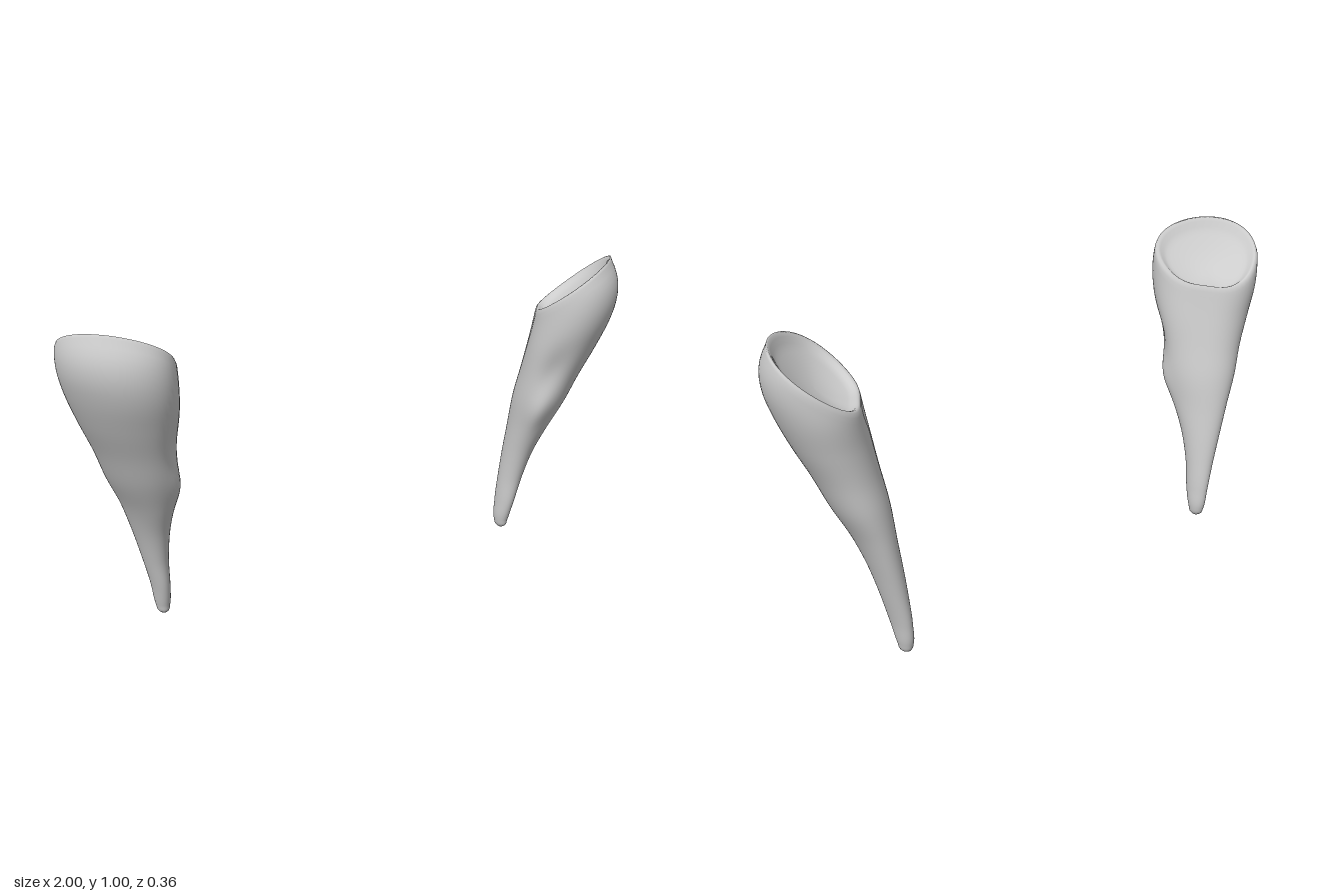
import * as THREE from 'three';

const AROUND = 56, UP = 64, DISH = 14;

// Body stations: height, then inner x, outer x, back z, front z
const stations = [
  [0, 0.664, 0.668, -0.142, -0.138],
  [0.008, 0.653, 0.680, -0.158, -0.121],
  [0.03, 0.646, 0.688, -0.169, -0.112],
  [0.1, 0.647, 0.702, -0.176, -0.092],
  [0.2, 0.654, 0.729, -0.178, -0.073],
  [0.3, 0.659, 0.759, -0.180, -0.040],
  [0.4, 0.661, 0.796, -0.180, 0.010],
  [0.5, 0.660, 0.846, -0.177, 0.058],
  [0.6, 0.666, 0.888, -0.167, 0.095],
  [0.7, 0.670, 0.936, -0.164, 0.136],
  [0.8, 0.680, 0.977, -0.165, 0.171],
  [0.87, 0.687, 0.996, -0.156, 0.180],
  [0.93, 0.692, 0.998, -0.148, 0.170],
  [1.0, 0.700, 0.978, -0.135, 0.130],
  [1.06, 0.710, 0.940, -0.120, 0.080],
];
const extents = new THREE.CubicInterpolant(
  stations.map((s) => s[0]), stations.flatMap((s) => s.slice(1)), 4, new Float32Array(4));

const bell = (v, centre, width) => Math.exp(-(((v - centre) / width) ** 2));

// Point on the outer wall at a given angle and height
function wallPoint(angle, y) {
  const [x0, x1, z0, z1] = extents.evaluate(y);
  const crown = THREE.MathUtils.smoothstep(y, 0.45, 0.8);
  // flattened inner back, lump and hollow on the inner front
  const scale = 1 - 0.12 * crown * bell(angle, 1.27 * Math.PI, 0.5)
    + 0.12 * bell(angle, 0.78 * Math.PI, 0.4) * bell(y, 0.47, 0.07)
    - 0.10 * bell(angle, 0.78 * Math.PI, 0.4) * bell(y, 0.63, 0.08);
  const skew = -0.25 * THREE.MathUtils.smoothstep(y, 0.1, 0.4);
  return new THREE.Vector3(
    (x0 + x1) / 2 + ((x1 - x0) / 2) * Math.cos(angle) * scale, y,
    (z0 + z1) / 2 + ((z1 - z0) / 2) * Math.sin(angle + skew) * scale);
}

// Height of the sloping rim above a wall point
const rimHeight = (p) => 0.983 + 0.54 * (p.x - 0.93) + 0.54 * (p.z - 0.075);

function rimPoint(angle) {
  let y = 0.9;
  for (let k = 0; k < 20; k++) y += 0.5 * (rimHeight(wallPoint(angle, y)) - y);
  return wallPoint(angle, y);
}

function toothGeometry(side) {
  const angles = Array.from({ length: AROUND }, (_, j) => (j / AROUND) * Math.PI * 2);
  const rim = angles.map(rimPoint);
  const centre = rim.reduce((sum, p) => sum.add(p), new THREE.Vector3()).divideScalar(AROUND);
  const rings = [];
  // outer wall from root tip to rim
  for (let i = 0; i <= UP; i++) {
    const t = (i / UP) ** 1.5;
    rings.push(angles.map((a, j) => wallPoint(a, rim[j].y * t)));
  }
  // rounded lip, then the hollow
  for (let i = 1; i <= DISH; i++) {
    const s = 1 - (i / DISH) ** 1.4;
    const lip = 0.016 * bell(s, 0.93, 0.09);
    const depth = 0.045 * (1 - s * s) ** 1.3;
    rings.push(rim.map((p) => {
      const q = centre.clone().lerp(p, s);
      q.y += lip - depth;
      return q;
    }));
  }
  const positions = rings.flat().flatMap((p) => [p.x * side, p.y, p.z]);
  const index = [];
  for (let i = 0; i < rings.length - 1; i++) {
    for (let j = 0; j < AROUND; j++) {
      const k = (j + 1) % AROUND;
      const a = i * AROUND + j, b = i * AROUND + k;
      const c = a + AROUND, d = b + AROUND;
      if (side > 0) index.push(a, c, b, b, c, d);
      else index.push(a, b, c, b, d, c);
    }
  }
  const geometry = new THREE.BufferGeometry();
  geometry.setAttribute('position', new THREE.Float32BufferAttribute(positions, 3));
  geometry.setIndex(index);
  geometry.computeVertexNormals();
  return geometry;
}

export function createModel() {
  const group = new THREE.Group();
  const material = new THREE.MeshStandardMaterial({ color: 0xcccccc });
  for (const [name, side] of [['leftTooth', 1], ['rightTooth', -1]]) {
    const tooth = new THREE.Mesh(toothGeometry(side), material);
    tooth.name = name;
    group.add(tooth);
  }
  return group;
}
